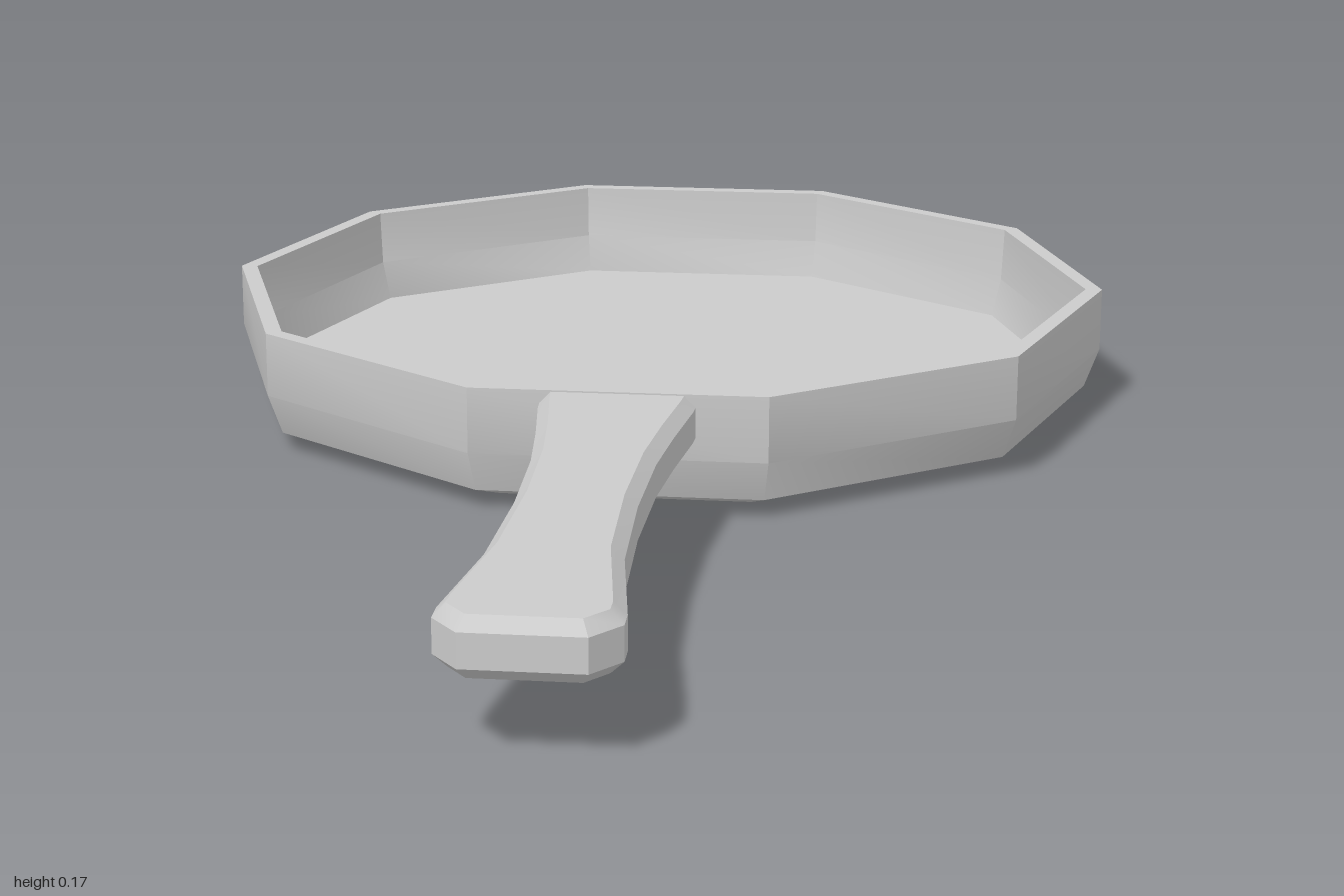
import * as THREE from 'three';
import { toCreasedNormals } from 'three/addons/utils/BufferGeometryUtils.js';

const CREASE = THREE.MathUtils.degToRad(35);
const material = new THREE.MeshStandardMaterial({ color: 0xcccccc });

function addPart(group, name, geometry) {
  const mesh = new THREE.Mesh(toCreasedNormals(geometry, CREASE), material);
  mesh.name = name;
  group.add(mesh);
  return mesh;
}

export function createModel() {
  const group = new THREE.Group();
  group.name = 'fryingPan';

  // Ten-sided bowl: underside, outer wall, flat rim, inner wall, floor
  const profile = [
    [0, 0], [0.53, 0], [0.6, 0.025], [0.62, 0.08], [0.62, 0.167],
    [0.597, 0.167], [0.593, 0.09], [0.578, 0.035], [0, 0.032],
  ].map(([r, y]) => new THREE.Vector2(r, y));
  const bowl = addPart(group, 'bowl', new THREE.LatheGeometry(profile, 10, Math.PI / 10));
  bowl.position.z = -0.41;

  // Waisted handle: plan outline (half width, z), mirrored, with chamfered edges
  const side = [
    [0.1, 0.163], [0.098, 0.2], [0.085, 0.31], [0.075, 0.42], [0.071, 0.58],
    [0.077, 0.76], [0.1, 0.93], [0.1, 0.96], [0.068, 1],
  ];
  const outline = [
    ...side.map(([x, z]) => new THREE.Vector2(x, z)),
    ...side.map(([x, z]) => new THREE.Vector2(-x, z)).reverse(),
  ];
  const bevel = 0.015;
  const handleGeometry = new THREE.ExtrudeGeometry(new THREE.Shape(outline), {
    depth: 0.04,
    bevelEnabled: true,
    bevelSegments: 1,
    bevelThickness: bevel,
    bevelSize: bevel,
    bevelOffset: -bevel,
  });
  handleGeometry.rotateX(Math.PI / 2);
  const handle = addPart(group, 'handle', handleGeometry);
  handle.position.y = 0.15;

  return group;
}
